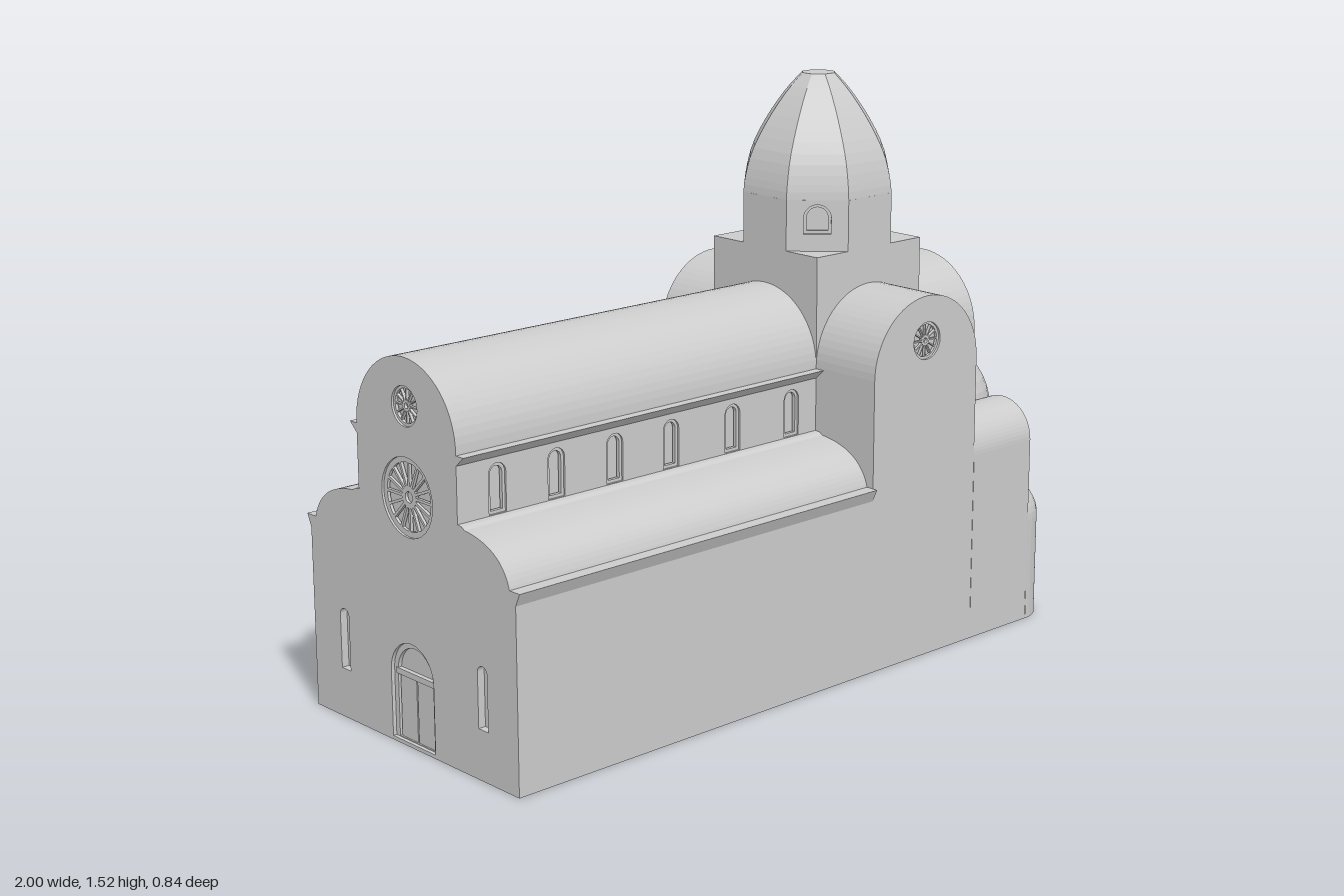
import * as THREE from 'three';

const T = 0.02;        // wall thickness in front of the solid cores
const FLOOR = 0.02;    // underside of the nave floor
const CHOIR = 0.08;    // underside of the raised eastern floor
const mat = new THREE.MeshStandardMaterial({ color: 0xcccccc, flatShading: true, side: THREE.DoubleSide });

function add(parent, name, geometry, x = 0, y = 0, z = 0, ry = 0) {
  const m = new THREE.Mesh(geometry, mat);
  m.name = name;
  m.position.set(x, y, z);
  m.rotation.y = ry;
  parent.add(m);
  return m;
}

function box(parent, name, x0, x1, y0, y1, z0, z1) {
  return add(parent, name, new THREE.BoxGeometry(x1 - x0, y1 - y0, z1 - z0),
    (x0 + x1) / 2, (y0 + y1) / 2, (z0 + z1) / 2);
}

const extrude = (shape, depth) => new THREE.ExtrudeGeometry(shape, { depth, bevelEnabled: false, curveSegments: 16 });

// Upright outline with a round top
function arch(cx, y0, top, r) {
  const s = new THREE.Shape();
  s.moveTo(cx - r, y0);
  s.lineTo(cx + r, y0);
  s.lineTo(cx + r, top - r);
  s.absarc(cx, top - r, r, 0, Math.PI, false);
  s.closePath();
  return s;
}

function disc(cx, cy, r) {
  return new THREE.Shape().absarc(cx, cy, r, 0, Math.PI * 2, false);
}

function poly(points) {
  return new THREE.Shape(points.map(p => new THREE.Vector2(...p)));
}

// Profile in (-z, y) swept along x
function alongX(parent, name, shape, x0, x1) {
  return add(parent, name, extrude(shape, x1 - x0), x0, 0, 0, Math.PI / 2);
}

// Thin arched frame lying inside a window opening
function windowFrame(parent, cx, y0, top, r) {
  const s = arch(cx, y0, top, r);
  s.holes.push(arch(cx, y0 + 0.008, top - 0.008, r - 0.008));
  return add(parent, 'windowFrame', extrude(s, T * 0.5));
}

// Ring, hub and spokes of a round window, in the local xy plane
function rose(parent, r, x, y, z, ry = 0, spokes = 12) {
  const g = new THREE.Group();
  g.name = 'roseWindow';
  g.position.set(x, y, z);
  g.rotation.y = ry;
  parent.add(g);
  for (const [outer, inner] of [[1, 0.86], [0.28, 0.14]]) {
    const s = disc(0, 0, r * outer);
    s.holes.push(disc(0, 0, r * inner));
    add(g, 'roseRing', extrude(s, 0.008), 0, 0, -0.004);
  }
  for (let i = 0; i < spokes; i++) {
    const a = i / spokes * Math.PI * 2;
    const m = add(g, 'roseSpoke', new THREE.BoxGeometry(r * 0.64, r * 0.07, 0.008),
      Math.cos(a) * r * 0.57, Math.sin(a) * r * 0.57, 0);
    m.rotation.z = a;
  }
}

// Half-round apse with a quarter-sphere roof, open below the raised floor
function apse(parent, name, z, r, top) {
  const pts = [[0, CHOIR], [r - 0.015, CHOIR], [r - 0.015, 0], [r, 0]];
  for (let i = 0; i <= 10; i++) {
    const a = i / 10 * Math.PI / 2;
    pts.push([Math.max(0, r * Math.cos(a)), top - r + r * Math.sin(a)]);
  }
  add(parent, name, new THREE.LatheGeometry(pts.map(p => new THREE.Vector2(...p)), 16, 0, Math.PI), 0.8, 0, z);
}

export function createModel() {
  const root = new THREE.Group();
  root.name = 'church';
  const R = 0.195, W = 0.405, X0 = -1, X1 = 0.18, X2 = 0.57, X3 = 0.8, CX = 0.375;
  const highWindows = [-0.88, -0.7, -0.515, -0.33, -0.12, 0.09];
  const lowWindows = [-0.885, -0.7, -0.52, -0.345];

  // Nave core and barrel roof
  box(root, 'naveCore', X0 + T, X1, FLOOR, 0.8, -R + T, R - T);
  alongX(root, 'naveRoof', arch(0, 0.775, 0.985, R), X0 + T, X1);

  // Clerestory walls, aisles and cornices, both sides
  for (const s of [1, -1]) {
    const wallShape = poly([[X0 + T, 0.56], [X1, 0.56], [X1, 0.79], [X0 + T, 0.79]]);
    for (const x of highWindows) wallShape.holes.push(arch(x, 0.62, 0.745, 0.026));
    add(root, 'clerestoryWall', extrude(wallShape, T), 0, 0, s > 0 ? R - T : -R);
    for (const x of highWindows) windowFrame(root, x, 0.62, 0.745, 0.026).position.z = s * (R - T / 2) - T / 4;

    const aisle = new THREE.Shape();
    aisle.moveTo(s * 0.17, FLOOR);
    aisle.lineTo(s * (W - T), FLOOR);
    aisle.lineTo(s * (W - T), 0.5);
    aisle.quadraticCurveTo(s * 0.36, 0.605, s * 0.2, 0.612);
    aisle.lineTo(s * 0.17, 0.612);
    alongX(root, 'aisle', aisle, X0 + T, X1);

    const aisleWall = poly([[X0 + T, 0], [X1, 0], [X1, 0.49], [X0 + T, 0.49]]);
    if (s < 0) for (const x of lowWindows) {
      aisleWall.holes.push(arch(x, 0.085, 0.215, 0.026));
      windowFrame(root, x, 0.085, 0.215, 0.026).position.z = -W + T / 2;
    }
    add(root, 'aisleWall', extrude(aisleWall, T), 0, 0, s > 0 ? W - T : -W);

    alongX(root, 'aisleCornice', poly([[s * 0.38, 0.505], [s * 0.42, 0.505], [s * W, 0.472], [s * 0.38, 0.472]]), X0, X1);
    alongX(root, 'naveCornice', poly([[s * 0.18, 0.785], [s * 0.222, 0.785], [s * R, 0.76], [s * 0.18, 0.76]]), X0, X1);
    alongX(root, 'aisleRidge', poly([[s * 0.18, 0.62], [s * 0.21, 0.617], [s * 0.23, 0.605], [s * 0.18, 0.6]]), X0, X1);
  }

  // West facade with door, narrow windows and two round windows
  const facade = new THREE.Shape();
  facade.moveTo(-W, 0);
  facade.lineTo(W, 0);
  facade.lineTo(W, 0.49);
  facade.lineTo(W - T, 0.5);
  facade.quadraticCurveTo(0.36, 0.605, 0.2, 0.612);
  facade.lineTo(R, 0.612);
  facade.lineTo(R, 0.79);
  facade.absarc(0, 0.79, R, 0, Math.PI, false);
  facade.lineTo(-R, 0.612);
  facade.lineTo(-0.2, 0.612);
  facade.quadraticCurveTo(-0.36, 0.605, -W + T, 0.5);
  facade.lineTo(-W, 0.49);
  facade.closePath();
  facade.holes.push(arch(0, 0.01, 0.27, 0.085), disc(0, 0.865, 0.05), disc(0, 0.64, 0.1),
    arch(0.275, 0.13, 0.29, 0.018), arch(-0.275, 0.13, 0.29, 0.018));
  alongX(root, 'westFacade', facade, X0, X0 + T);
  rose(root, 0.05, X0 + T / 2, 0.865, 0, Math.PI / 2);
  rose(root, 0.1, X0 + T / 2, 0.64, 0, Math.PI / 2, 16);
  const doorFrame = arch(0, 0.01, 0.27, 0.085);
  doorFrame.holes.push(arch(0, 0.012, 0.255, 0.07));
  alongX(root, 'doorFrame', doorFrame, X0 + T / 2, X0 + T);
  box(root, 'doorLintel', X0 + 0.008, X0 + T, 0.175, 0.19, -0.075, 0.075);
  for (const s of [1, -1]) box(root, 'doorLeaf', X0 + 0.014, X0 + T, 0.01, 0.175, s * 0.034 - 0.032, s * 0.034 + 0.032);

  // Transept with a round window at each end
  add(root, 'transept', extrude(arch(CX, CHOIR, 0.985, R), 2 * (W - T)), 0, 0, -W + T);
  for (const s of [1, -1]) {
    const end = arch(CX, 0, 0.985, R);
    end.holes.push(disc(CX, 0.865, 0.05));
    add(root, 'transeptEnd', extrude(end, T), 0, 0, s > 0 ? W - T : -W);
    rose(root, 0.05, CX, 0.865, s * (W - T / 2));
  }

  // Choir and side chapels: barrel-vaulted blocks, each ending in an apse
  for (const [name, z, r, top, roseY, roseR, apseTop] of [
    ['choir', 0, R, 0.985, 0.865, 0.05, 0.73],
    ['sideChapel', 0.302, 0.104, 0.62, 0.54, 0.025, 0.39],
    ['sideChapel', -0.302, 0.104, 0.62, 0.54, 0.025, 0.39],
  ]) {
    alongX(root, name, arch(-z, CHOIR, top, r), X2, X3 - T);
    const end = arch(-z, CHOIR, top, r);
    end.holes.push(disc(-z, roseY, roseR));
    alongX(root, name + 'End', end, X3 - T, X3);
    rose(root, roseR, X3 - T / 2, roseY, z, Math.PI / 2);
    apse(root, name + 'Apse', z, r, apseTop);
    if (z) box(root, 'chapelWallFoot', X2, X3, 0, CHOIR + 0.01, z > 0 ? W - T : -W, z > 0 ? W : -W + T);
  }

  // Crossing tower
  box(root, 'crossingTower', X1, X2, CHOIR, 1.08, -R, R);

  // Octagonal drum, windows on the diagonal faces
  const k = 1 / Math.cos(Math.PI / 8), half = R * Math.tan(Math.PI / 8);
  add(root, 'drumCore', new THREE.CylinderGeometry((R - T) * k, (R - T) * k, 0.13, 8, 1, false, Math.PI / 8), CX, 1.145, 0);
  for (let i = 0; i < 8; i++) {
    const face = new THREE.Group();
    face.name = 'drumFace';
    face.position.x = CX;
    face.rotation.y = i * Math.PI / 4;
    root.add(face);
    const s = poly([[-half, 1.08], [half, 1.08], [half, 1.215], [-half, 1.215]]);
    if (i % 2) {
      s.holes.push(arch(0, 1.125, 1.203, 0.036));
      windowFrame(face, 0, 1.125, 1.203, 0.036).position.z = R - T;
    }
    add(face, 'drumWall', extrude(s, T), 0, 0, R - T);
  }

  // Pointed eight-sided dome with a flat top
  const curve = new THREE.SplineCurve([[0.195, 1.21], [0.191, 1.25], [0.173, 1.32], [0.133, 1.4], [0.085, 1.472], [0.042, 1.522]]
    .map(([r, y]) => new THREE.Vector2(r * k, y)));
  const profile = [...curve.getPoints(14), new THREE.Vector2(0, 1.522)];
  add(root, 'dome', new THREE.LatheGeometry(profile, 8, Math.PI / 8), CX, 0, 0);

  return root;
}
